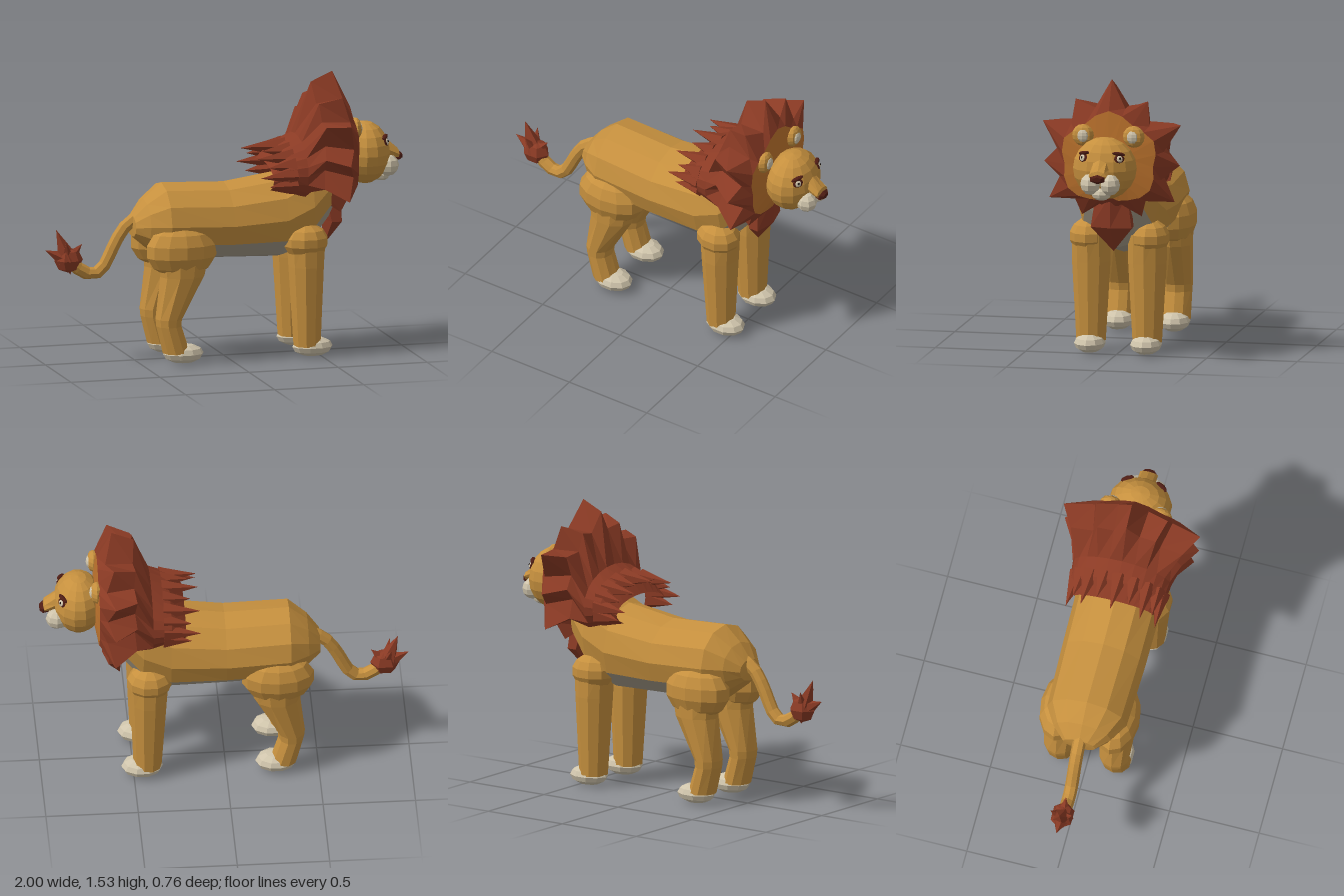
import * as THREE from 'three';

const mat = (name, color) => {
  const m = new THREE.MeshStandardMaterial({ color });
  m.name = name;
  return m;
};

// Facet a geometry so every face has its own normal
function flat(g) {
  const f = g.index ? g.toNonIndexed() : g;
  f.computeVertexNormals();
  return f;
}

// Skin a list of closed rings; keep(i, j) picks which faces are built
function loft(rings, keep = () => true) {
  const pos = [];
  const tri = (a, b, c) => {
    const n = b.clone().sub(a).cross(c.clone().sub(a));
    if (n.length() > 1e-8) [a, b, c].forEach(p => pos.push(p.x, p.y, p.z));
  };
  for (let i = 0; i < rings.length - 1; i++) {
    const n = rings[i].length;
    for (let j = 0; j < n; j++) {
      if (!keep(i, j)) continue;
      const k = (j + 1) % n, a = rings[i], b = rings[i + 1];
      tri(a[j], a[k], b[k]);
      tri(a[j], b[k], b[j]);
    }
  }
  const g = new THREE.BufferGeometry();
  g.setAttribute('position', new THREE.Float32BufferAttribute(pos, 3));
  return flat(g);
}

const ring = (n, f) => Array.from({ length: n }, (_, j) => f(j * Math.PI * 2 / n, j));
// Upright ring across the x axis, angle 0 at the top
const ringX = (n, x, cy, ry, rz) =>
  ring(n, a => new THREE.Vector3(x, cy + ry * Math.cos(a), rz * Math.sin(a)));
// Level ring; list these from top to bottom
const ringY = (n, y, cx, cz, rx, rz) =>
  ring(n, a => new THREE.Vector3(cx + rx * Math.cos(a), y, cz + rz * Math.sin(a)));

export function createModel() {
  const fur = mat('fur', 0xc6903e);
  const belly = mat('belly', 0xa39a88);
  const cream = mat('cream', 0xcfc4ab);
  const maneRed = mat('maneRed', 0x8a3a24);
  const maneOrange = mat('maneOrange', 0xbd732d);
  const dark = mat('darkBrown', 0x4f1d14);
  const black = mat('pupil', 0x1c1412);

  const model = new THREE.Group();
  const add = (name, geo, material, x = 0, y = 0, z = 0) => {
    const m = new THREE.Mesh(geo, material);
    m.name = name;
    m.position.set(x, y, z);
    model.add(m);
    return m;
  };
  const ball = (name, material, p, r, w = 10, h = 7) => {
    const g = new THREE.SphereGeometry(1, w, h).scale(...r);
    return add(name, flat(g), material, ...p);
  };
  // Cone running from a base point to a tip
  const spike = (name, base, tip, r, material) => {
    const a = new THREE.Vector3(...base), b = new THREE.Vector3(...tip);
    const d = b.clone().sub(a);
    const m = add(name, flat(new THREE.ConeGeometry(r, d.length(), 5)), material);
    m.position.copy(a).addScaledVector(d, 0.5);
    m.quaternion.setFromUnitVectors(new THREE.Vector3(0, 1, 0), d.normalize());
  };

  // Body: twelve-sided, with the lower four strips as the belly
  const bodyRings = [
    [-0.52, 0.74, 0, 0], [-0.515, 0.74, 0.06, 0.09], [-0.45, 0.755, 0.13, 0.16], [-0.35, 0.76, 0.21, 0.222],
    [0, 0.748, 0.208, 0.232], [0.3, 0.765, 0.235, 0.235], [0.45, 0.83, 0.25, 0.225],
    [0.57, 0.94, 0.21, 0.18], [0.64, 1.02, 0.15, 0.14],
  ].map(r => ringX(12, ...r));
  const isBelly = (i, j) => i > 2 && j >= 4 && j <= 7;
  add('body', loft(bodyRings, (i, j) => !isBelly(i, j)), fur);
  add('belly', loft(bodyRings, isBelly), belly);

  for (const s of [1, -1]) {
    const side = s > 0 ? 'Near' : 'Far';
    const z = 0.155 * s;
    // Front leg
    ball('shoulder' + side, fur, [0.415, 0.635, 0.165 * s], [0.125, 0.1, 0.11]);
    add('frontLeg' + side, loft([
      ringY(10, 0.66, 0.42, z, 0.11, 0.105), ringY(10, 0.5, 0.42, z, 0.1, 0.105),
      ringY(10, 0.06, 0.425, z, 0.076, 0.08), ringY(10, 0.05, 0.425, z, 0, 0),
    ]), fur);
    ball('frontPaw' + side, cream, [0.455, 0.054, z], [0.113, 0.054, 0.085], 10, 6);
    // Hind leg
    ball('thigh' + side, fur, [-0.28, 0.62, 0.155 * s], [0.2, 0.15, 0.12], 12, 7);
    add('hindLeg' + side, loft([
      ringY(10, 0.58, -0.27, z, 0.14, 0.1), ringY(10, 0.48, -0.275, z, 0.125, 0.098),
      ringY(10, 0.25, -0.352, z, 0.074, 0.083), ringY(10, 0.21, -0.352, z, 0.07, 0.08),
      ringY(10, 0.06, -0.31, z, 0.075, 0.08), ringY(10, 0.05, -0.31, z, 0, 0),
    ]), fur);
    ball('hindPaw' + side, cream, [-0.27, 0.054, z], [0.113, 0.054, 0.085], 10, 6);
  }

  // Tail and its tuft
  const tailPath = new THREE.CatmullRomCurve3([
    [-0.46, 0.8], [-0.55, 0.74], [-0.62, 0.63], [-0.67, 0.53], [-0.73, 0.485], [-0.8, 0.51], [-0.86, 0.56],
  ].map(p => new THREE.Vector3(p[0], p[1], 0)));
  add('tail', flat(new THREE.TubeGeometry(tailPath, 10, 0.036, 8)), fur);
  ball('tailTuft', maneRed, [-0.87, 0.57, 0], [0.08, 0.07, 0.065], 6, 4);
  for (const [tx, ty, tz, r] of [[-0.94, 0.74, 0, 0.062], [-1, 0.63, 0, 0.055], [-0.795, 0.655, 0, 0.05],
    [-0.86, 0.49, 0, 0.05], [-0.9, 0.68, 0.06, 0.04], [-0.9, 0.68, -0.06, 0.04]])
    spike('tailTuftPoint', [-0.875, 0.57, 0], [tx, ty, tz], r, maneRed);

  // Mane: star-shaped rings with twelve points, from the neck to the face
  const tips = [0.46, 0.4, 0.44, 0.375, 0.4, 0.33, 0.26];
  const valleys = [0.32, 0.305, 0.305, 0.29, 0.275, 0.225];
  const star = (xTip, xValley, kTip, kValley, dy = 0) => ring(24, (a, j) => {
    const m = j > 12 ? 24 - j : j;
    const tip = m % 2 === 0;
    const r = tip ? tips[m / 2] * kTip : valleys[(m - 1) / 2] * kValley;
    return new THREE.Vector3(tip ? xTip : xValley, 1.07 + dy + r * Math.cos(a), r * Math.sin(a));
  });
  const maneRings = [
    ringX(24, 0.22, 0.98, 0.08, 0.22), ringX(24, 0.3, 1.01, 0.14, 0.265), ringX(24, 0.4, 1.01, 0.19, 0.275),
    star(0.49, 0.5, 0.82, 0.87, 0.03), star(0.61, 0.65, 1, 1),
    star(0.69, 0.69, 0.65, 0.88), ringX(24, 0.705, 1.07, 0.14, 0.14), ringX(24, 0.705, 1.07, 0, 0),
  ];
  add('mane', loft(maneRings, i => i < 5), maneRed);
  add('maneFace', loft(maneRings, i => i >= 5), maneOrange);
  // Backward points along the nape and the neck sides
  for (let k = -5; k <= 5; k++) {
    const a = k * 0.36, c = Math.cos(a), s = Math.sin(a);
    const long = k % 2 === 0 ? 0.14 : 0.19;
    spike('napePoint', [0.34, 1.0 + 0.135 * c, 0.235 * s], [long, 0.99 + 0.145 * c, 0.25 * s], 0.05, maneRed);
  }
  // Chest tuft
  add('chestTuft', loft([
    ringY(6, 0.9, 0.58, 0, 0.08, 0.1), ringY(6, 0.72, 0.605, 0, 0.055, 0.13), ringY(6, 0.58, 0.565, 0, 0, 0),
  ]), maneRed);

  // Head
  ball('head', fur, [0.79, 1.075, 0], [0.138, 0.17, 0.174], 14, 10);
  add('noseBridge', loft([
    ringX(8, 0.85, 1.09, 0.07, 0.045), ringX(8, 0.91, 1.09, 0.055, 0.05),
    ringX(8, 0.975, 1.06, 0.028, 0.05), ringX(8, 0.985, 1.055, 0, 0),
  ]), fur);
  add('nose', loft([
    ringX(6, 0.95, 1.045, 0.02, 0.035), ringX(6, 0.983, 1.045, 0.025, 0.045),
    ringX(6, 1, 1.045, 0.014, 0.025), ringX(6, 1, 1.045, 0, 0),
  ]), dark);
  ball('chin', cream, [0.885, 0.95, 0], [0.05, 0.037, 0.055], 8, 6);

  for (const s of [1, -1]) {
    ball('muzzle', cream, [0.91, 1.005, 0.055 * s], [0.06, 0.058, 0.055], 8, 6);
    // Ears
    ball('ear', fur, [0.7, 1.235, 0.14 * s], [0.035, 0.06, 0.06], 8, 8);
    ball('innerEar', cream, [0.722, 1.235, 0.137 * s], [0.018, 0.036, 0.034], 8, 6);
    // Eyes, turned to follow the curve of the head
    const eye = new THREE.Group();
    eye.name = 'eye';
    eye.position.set(0.885, 1.145, 0.1 * s);
    const disc = (name, m, rx, ry, depth, y = 0) => {
      const d = new THREE.Mesh(flat(new THREE.SphereGeometry(1, 8, 6).scale(rx, ry, depth)), m);
      d.name = name;
      d.position.y = y;
      eye.add(d);
      return d;
    };
    disc('eyeRim', dark, 0.03, 0.024, 0.008);
    disc('eyeWhite', cream, 0.021, 0.02, 0.013, -0.002);
    disc('pupil', black, 0.009, 0.011, 0.016, -0.001);
    disc('brow', dark, 0.038, 0.011, 0.016, 0.026).rotation.z = 0.2 * s;
    eye.lookAt(0.885 + 0.7, 1.145 + 0.28, 0.1 * s + 0.45 * s);
    model.add(eye);
  }
  return model;
}
